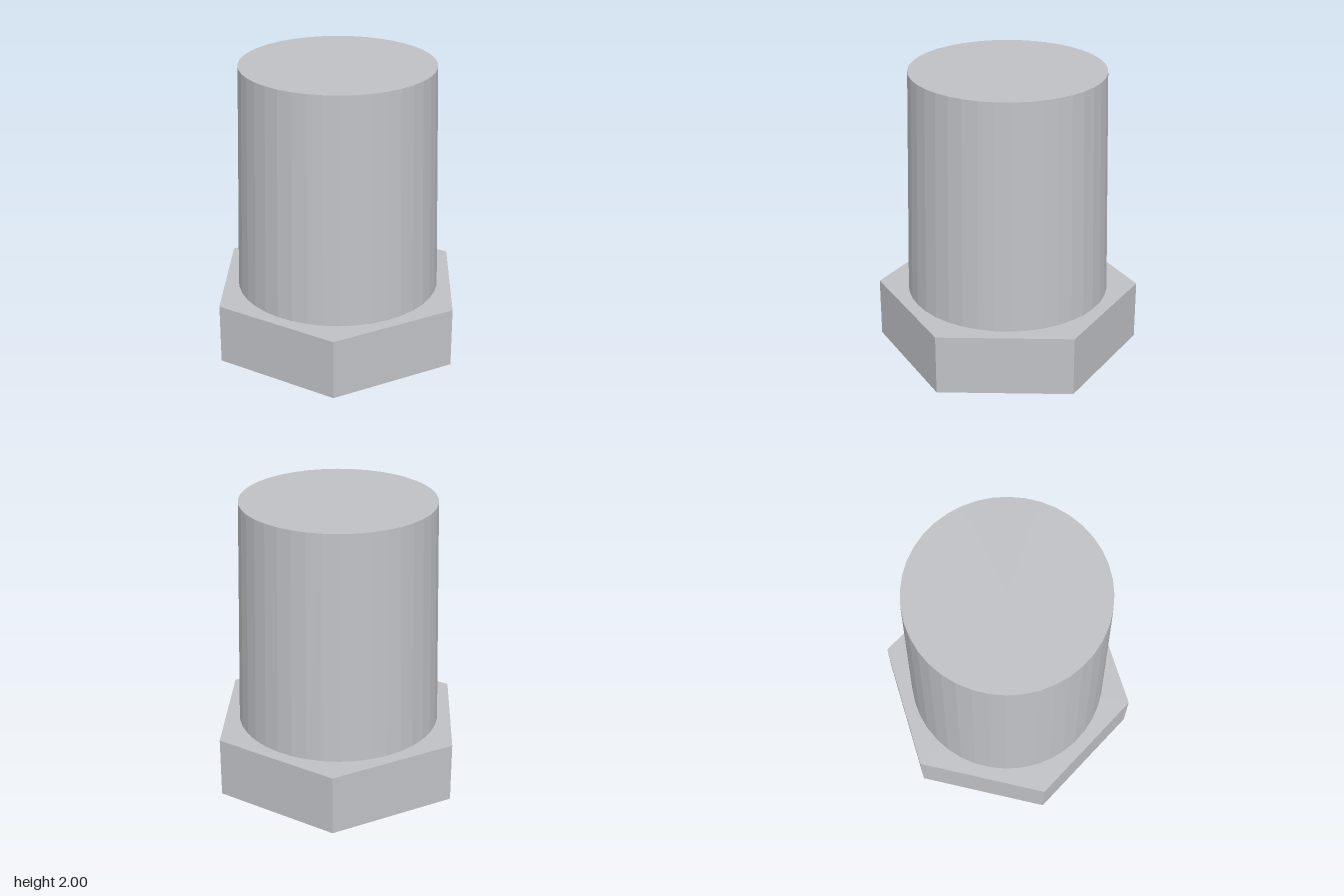
import * as THREE from 'three';

export function createModel() {
  const model = new THREE.Group();
  const steel = new THREE.MeshStandardMaterial({ color: 0xbfc1c5, flatShading: true });
  steel.name = 'light grey steel';

  const addPrism = (name, topRadius, bottomRadius, y0, y1, sides) => {
    // corners start on the x axis
    const geometry = new THREE.CylinderGeometry(topRadius, bottomRadius, y1 - y0, sides, 1, false, Math.PI / 2);
    const mesh = new THREE.Mesh(geometry, steel);
    mesh.name = name;
    mesh.position.y = (y0 + y1) / 2;
    model.add(mesh);
  };

  // Hexagonal head with a slightly tapered shank
  addPrism('hexHead', 0.91, 0.91, 0, 0.42, 6);
  addPrism('taperedShank', 0.66, 0.7, 0.42, 2, 40);

  return model;
}
